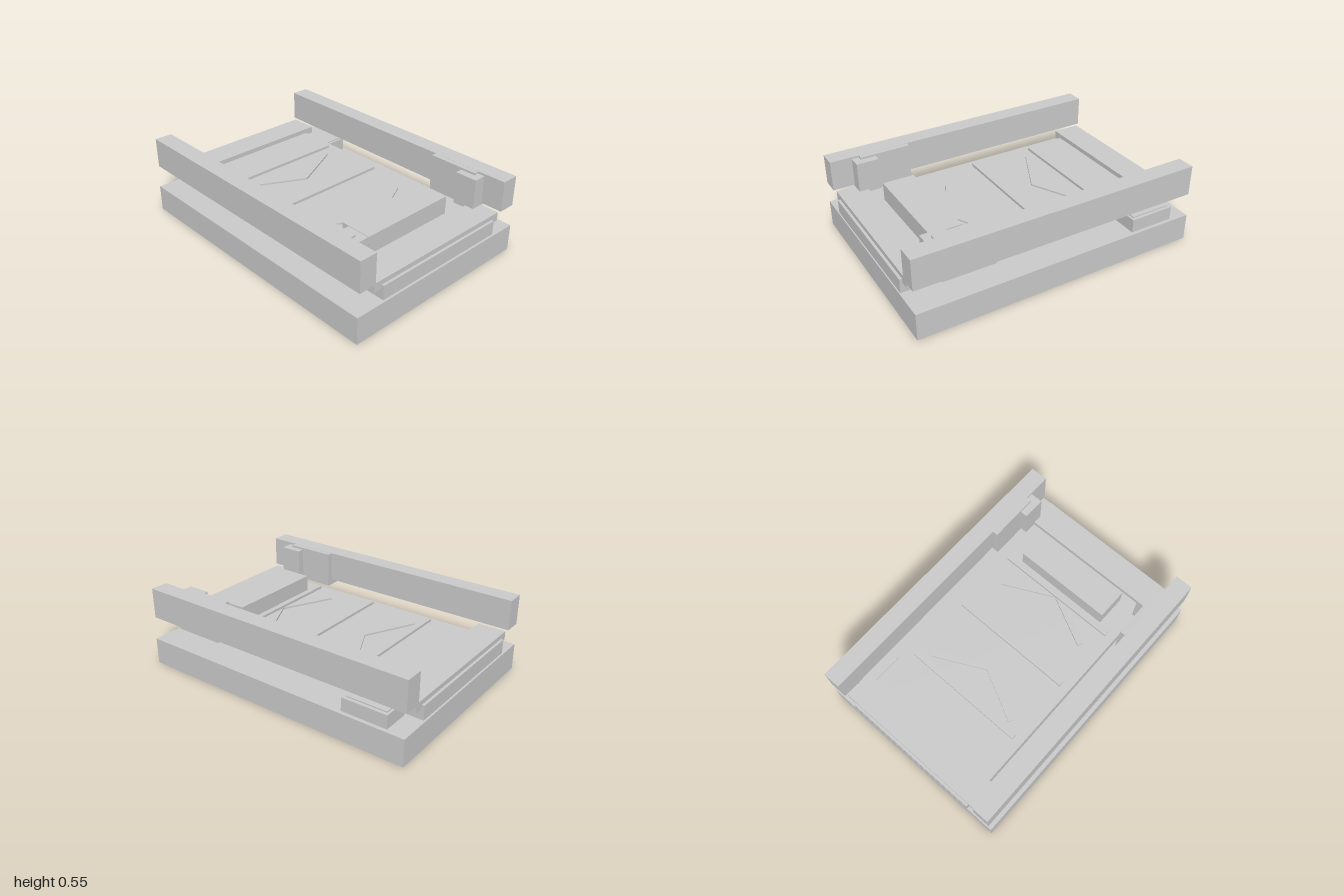
import * as THREE from 'three';

const material = new THREE.MeshStandardMaterial({ color: 0xcccccc, flatShading: true });

export function createModel() {
  const model = new THREE.Group();
  model.name = 'railedPlatform';

  // Box given by its limits on each axis
  function block(name, [x0, x1], [y0, y1], [z0, z1]) {
    const mesh = new THREE.Mesh(new THREE.BoxGeometry(x1 - x0, y1 - y0, z1 - z0), material);
    mesh.position.set((x0 + x1) / 2, (y0 + y1) / 2, (z0 + z1) / 2);
    mesh.name = name;
    model.add(mesh);
    return mesh;
  }

  block('base', [-0.7, 0.7], [0, 0.185], [-1, 1]);
  block('deck', [-0.5, 0.5], [0.203, 0.3], [-1, 1]);
  block('raisedPanel', [-0.348, 0.348], [0.3, 0.425], [0.51, 0.73]);

  // Cross beams and the spacers under the deck, at both ends
  for (const end of [-1, 1]) {
    const span = (a, b) => (end > 0 ? [a, b] : [-b, -a]);
    block('crossBeam', [-0.56, 0.56], [0.272, 0.332], span(0.787, 0.982));
    block('deckSpacer', [-0.475, 0.475], [0.185, 0.203], span(0.865, 0.98));
  }

  // Side rails with their inner pads and grips
  for (const side of [-1, 1]) {
    const span = (a, b) => (side > 0 ? [a, b] : [-b, -a]);
    block('sideRail', span(0.565, 0.687), [0.342, 0.552], [-1, 1]);
    block('railPad', span(0.528, 0.65), [0.302, 0.551], [0.45, 0.8]);
    block('railGrip', span(0.477, 0.575), [0.315, 0.537], [0.695, 0.85]);
  }

  // Slats across the deck
  for (const z of [-0.475, -0.003, 0.467]) {
    block('slat', [-0.437, 0.437], [0.312, 0.33], [z - 0.019, z + 0.019]);
  }

  // Chevrons, each of two slanted arms
  for (const z of [-0.315, 0.385]) {
    for (const side of [-1, 1]) {
      const arm = block('chevronArm', [-0.2, 0.2], [0.3, 0.312], [-0.02, 0.02]);
      arm.position.x = side * 0.172;
      arm.position.z = z;
      arm.rotation.y = side * 0.464;
    }
  }

  // Control box beside the deck, with a thin lid
  block('controlBox', [0.49, 0.675], [0.185, 0.277], [-0.87, -0.553]);
  block('controlBoxLid', [0.51, 0.652], [0.277, 0.284], [-0.853, -0.57]);

  // Small pointed studs on the base
  for (const z of [0.13, -0.3]) {
    const stud = new THREE.Mesh(new THREE.ConeGeometry(0.025, 0.01, 8), material);
    stud.position.set(0, 0.19, z);
    stud.name = 'baseStud';
    model.add(stud);
  }

  return model;
}
